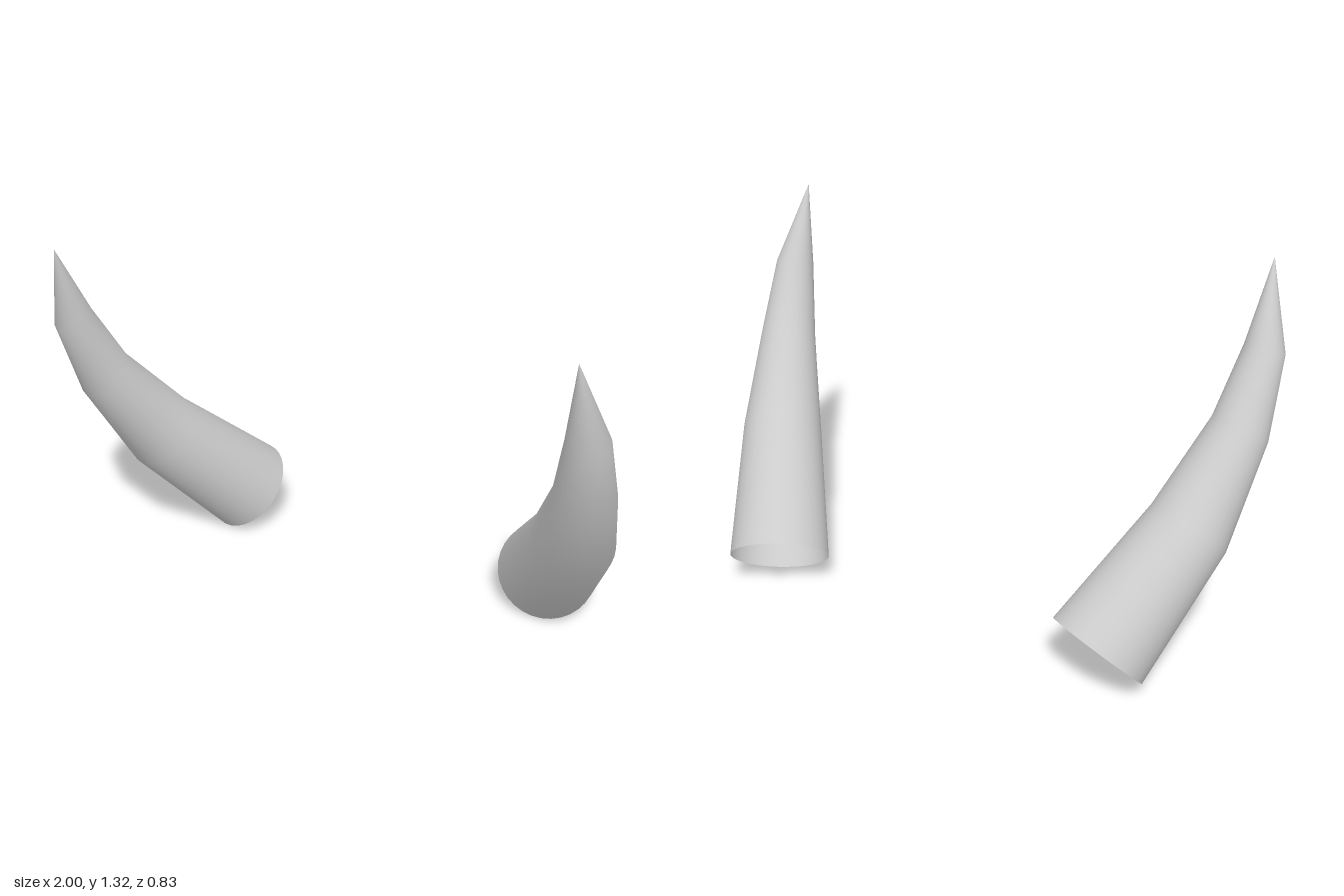
import * as THREE from 'three';

const SIDES = 32;

// Cross-sections from the open base to the tip: centre, facing direction, radius
const RINGS = [
  { c: [0.636, 0.13, -0.27], n: [0.48, 1, 0.86], r: 0.18 },
  { c: [0.813, 0.486, 0.035], n: [0.42, 1, 0.86], r: 0.145 },
  { c: [0.899, 0.789, 0.225], n: [0.26, 1, 0.62], r: 0.101 },
  { c: [0.926, 1.04, 0.33], n: [0.1, 1, 0.36], r: 0.069 },
  { c: [0.905, 1.325, 0.415], n: [-0.07, 1, 0.3], r: 0 },
];

// Curved, tapering horn shell; side is +1 for left, -1 for right
function hornGeometry(side) {
  const positions = [];
  const index = [];
  for (const { c, n, r } of RINGS) {
    const centre = new THREE.Vector3(...c);
    const axis = new THREE.Vector3(...n).normalize();
    const u = new THREE.Vector3(1, 0, 0).addScaledVector(axis, -axis.x).normalize();
    const v = axis.clone().cross(u);
    for (let i = 0; i < SIDES; i++) {
      const a = (i / SIDES) * Math.PI * 2;
      const p = centre.clone()
        .addScaledVector(u, r * Math.cos(a))
        .addScaledVector(v, r * Math.sin(a));
      positions.push(side * p.x, p.y, p.z);
    }
  }
  const addFace = (a, b, c) => index.push(...(side > 0 ? [a, b, c] : [a, c, b]));
  for (let k = 0; k < RINGS.length - 1; k++) {
    for (let i = 0; i < SIDES; i++) {
      const j = (i + 1) % SIDES;
      const a = k * SIDES + i, b = k * SIDES + j;
      addFace(a, b, a + SIDES);
      // The last band closes to a point, so it needs one triangle per side
      if (k < RINGS.length - 2) addFace(b, b + SIDES, a + SIDES);
    }
  }
  const geometry = new THREE.BufferGeometry();
  geometry.setAttribute('position', new THREE.Float32BufferAttribute(positions, 3));
  geometry.setIndex(index);
  geometry.computeVertexNormals();
  return geometry;
}

export function createModel() {
  const model = new THREE.Group();
  model.name = 'hornPair';
  const material = new THREE.MeshStandardMaterial({ color: 0xcccccc, side: THREE.DoubleSide });
  for (const [name, side] of [['leftHorn', 1], ['rightHorn', -1]]) {
    const horn = new THREE.Mesh(hornGeometry(side), material);
    horn.name = name;
    model.add(horn);
  }
  return model;
}
